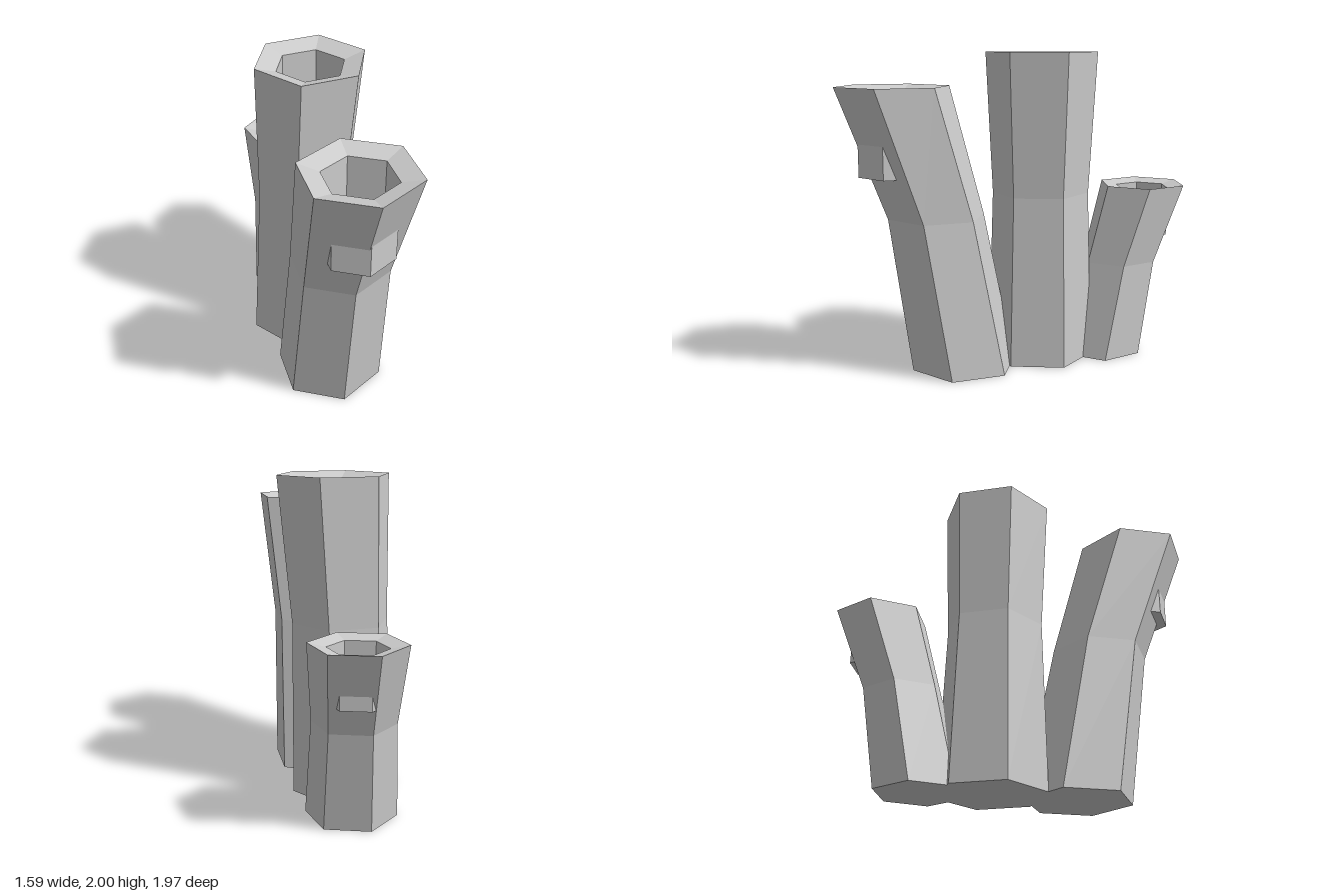
import * as THREE from 'three';

const SIDES = 6;

// Faceted surface through a list of hexagonal rings [x, y, z, radius]
function loft(rings, turn) {
  const point = ([x, y, z, r], i) => {
    const a = turn + ((i % SIDES) / SIDES) * Math.PI * 2;
    return [x + r * Math.cos(a), y, z + r * Math.sin(a)];
  };
  const pos = [];
  for (let k = 0; k < rings.length - 1; k++) {
    const lo = rings[k], hi = rings[k + 1];
    for (let i = 0; i < SIDES; i++) {
      const a = point(lo, i + 1), b = point(lo, i), c = point(hi, i), d = point(hi, i + 1);
      if (lo[3] > 0) pos.push(...a, ...b, ...c);
      if (hi[3] > 0) pos.push(...a, ...c, ...d);
    }
    // A ring of radius 0 closes the surface as a cap
    if (hi[3] === 0) continue;
    if (lo[3] === 0) continue;
  }
  const geometry = new THREE.BufferGeometry();
  geometry.setAttribute('position', new THREE.Float32BufferAttribute(pos, 3));
  geometry.computeVertexNormals();
  return geometry;
}

export function createModel() {
  const model = new THREE.Group();
  model.name = 'tubeCluster';

  const stone = new THREE.MeshStandardMaterial({ color: 0xcccccc });
  stone.name = 'pale grey';
  stone.side = THREE.DoubleSide;

  // Each tube: height, top radius, turn in degrees, and x, z of base, waist and mouth
  const tubes = [
    { name: 'tallTube', h: 2, r: 0.354, turn: 28.4, base: [0.045, -0.185], waist: [0.063, -0.16], mouth: [0.09, -0.127] },
    { name: 'frontTube', h: 1.8, r: 0.352, turn: 4, base: [-0.223, 0.288], waist: [-0.314, 0.435], mouth: [-0.448, 0.664] },
    { name: 'backTube', h: 1.13, r: 0.288, turn: -8.4, base: [0.325, -0.505], waist: [0.403, -0.597], mouth: [0.506, -0.722] },
  ];

  for (const { name, h, r, turn, base, waist, mouth } of tubes) {
    const tube = new THREE.Group();
    tube.name = name;
    const ring = ([x, z], y, radius) => [x, y, z, radius];
    const add = (part, rings) => {
      const mesh = new THREE.Mesh(loft(rings, THREE.MathUtils.degToRad(turn)), stone);
      mesh.name = part;
      tube.add(mesh);
    };

    // Leaning wall, narrowest at the waist, closed underneath
    add('wall', [
      ring(base, 0, 0),
      ring(base, 0, r * 0.97),
      ring(waist, h * 0.55, r * 0.875),
      ring(mouth, h, r),
    ]);
    // Rim sloping slightly inwards
    add('rim', [ring(mouth, h, r), ring(mouth, h * 0.98, r * 0.62)]);
    // Straight vertical hollow with a flat floor
    add('hollow', [
      ring(mouth, h * 0.98, r * 0.62),
      ring(mouth, h * 0.7, r * 0.62),
      ring(mouth, h * 0.7, 0),
    ]);
    model.add(tube);
  }
  return model;
}
